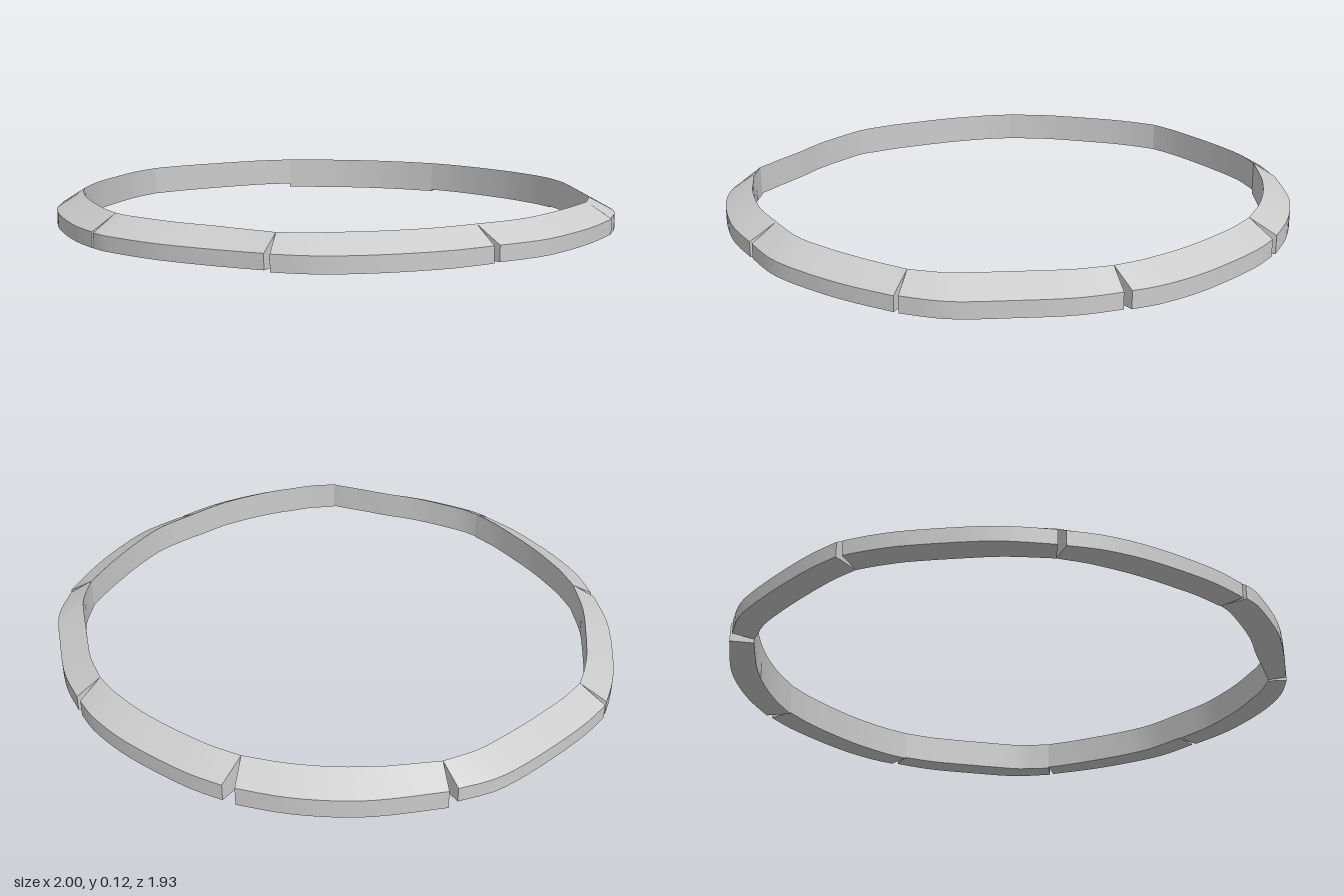
import * as THREE from 'three';
import { toCreasedNormals } from 'three/addons/utils/BufferGeometryUtils.js';

const STEPS = 14;   // slices along each stone
const WIDTH = 0.095; // radial width of the ring

// Inner corner where neighbouring stones touch; stone i runs from seam i to seam i + 1.
const seams = [
  [-0.24, -0.85], [0.39, -0.81], [0.84, -0.4], [0.87, 0.21], [0.565, 0.74],
  [-0.05, 0.865], [-0.61, 0.61], [-0.905, 0.08], [-0.75, -0.515],
];

// Outer edge (x, z) of each stone, clockwise from the back, and the height of its underside.
const stones = [
  { base: 0.006, edge: [[-0.24, -0.945], [-0.1, -0.965], [0.13, -0.963], [0.3, -0.935], [0.405, -0.895]] },
  { base: 0.01, edge: [[0.43, -0.885], [0.56, -0.815], [0.7, -0.7], [0.835, -0.575], [0.91, -0.44]] },
  { base: 0.014, edge: [[0.92, -0.43], [0.963, -0.28], [0.99, -0.13], [1, 0.05], [0.965, 0.215]] },
  { base: 0.012, edge: [[0.96, 0.235], [0.915, 0.4], [0.82, 0.585], [0.715, 0.715], [0.6, 0.795]] },
  { base: 0.016, edge: [[0.58, 0.8], [0.43, 0.865], [0.245, 0.928], [0.04, 0.96], [-0.045, 0.955]] },
  { base: 0.014, edge: [[-0.06, 0.95], [-0.21, 0.918], [-0.41, 0.842], [-0.555, 0.762], [-0.655, 0.677]] },
  { base: 0.014, edge: [[-0.675, 0.66], [-0.8, 0.52], [-0.92, 0.313], [-0.968, 0.2], [-0.995, 0.105]] },
  { base: 0.014, edge: [[-1, 0.085], [-0.99, -0.05], [-0.95, -0.255], [-0.9, -0.425], [-0.825, -0.543]] },
  { base: 0, edge: [[-0.81, -0.57], [-0.665, -0.72], [-0.555, -0.805], [-0.42, -0.88], [-0.28, -0.933]] },
];

// Sweep a low wall with a sloping top along the outer edge, ending on the two seams.
function stoneGeometry({ base, edge }, startSeam, endSeam) {
  const curve = new THREE.SplineCurve(edge.map(([x, z]) => new THREE.Vector2(x, z)));
  const inset = (t) => {
    const d = curve.getTangent(t);
    return curve.getPoint(t).add(new THREE.Vector2(-d.y, d.x).multiplyScalar(WIDTH));
  };
  const startShift = new THREE.Vector2(...startSeam).sub(inset(0));
  const endShift = new THREE.Vector2(...endSeam).sub(inset(1));

  const rings = [];
  for (let i = 0; i <= STEPS; i++) {
    const t = i / STEPS;
    const o = curve.getPoint(t);
    const n = inset(t)
      .addScaledVector(startShift, Math.max(0, 1 - t * 3))
      .addScaledVector(endShift, Math.max(0, t * 3 - 2));
    rings.push([[n.x, base, n.y], [o.x, base, o.y], [o.x, 0.065, o.y], [n.x, 0.117, n.y]]);
  }

  const positions = [];
  const quad = (a, b, c, d) => positions.push(...a, ...b, ...c, ...a, ...c, ...d);
  for (let i = 0; i < STEPS; i++) {
    for (let k = 0; k < 4; k++) {
      const m = (k + 1) % 4;
      quad(rings[i][k], rings[i][m], rings[i + 1][m], rings[i + 1][k]);
    }
  }
  // End faces
  quad(...[...rings[0]].reverse());
  quad(...rings[STEPS]);

  const geometry = new THREE.BufferGeometry();
  geometry.setAttribute('position', new THREE.Float32BufferAttribute(positions, 3));
  return toCreasedNormals(geometry, 0.4);
}

export function createModel() {
  const group = new THREE.Group();
  group.name = 'stoneRing';
  const material = new THREE.MeshStandardMaterial({ color: 0xcccccc });
  stones.forEach((stone, i) => {
    const geometry = stoneGeometry(stone, seams[i], seams[(i + 1) % seams.length]);
    const mesh = new THREE.Mesh(geometry, material);
    mesh.name = `edgingStone${i + 1}`;
    group.add(mesh);
  });
  return group;
}
